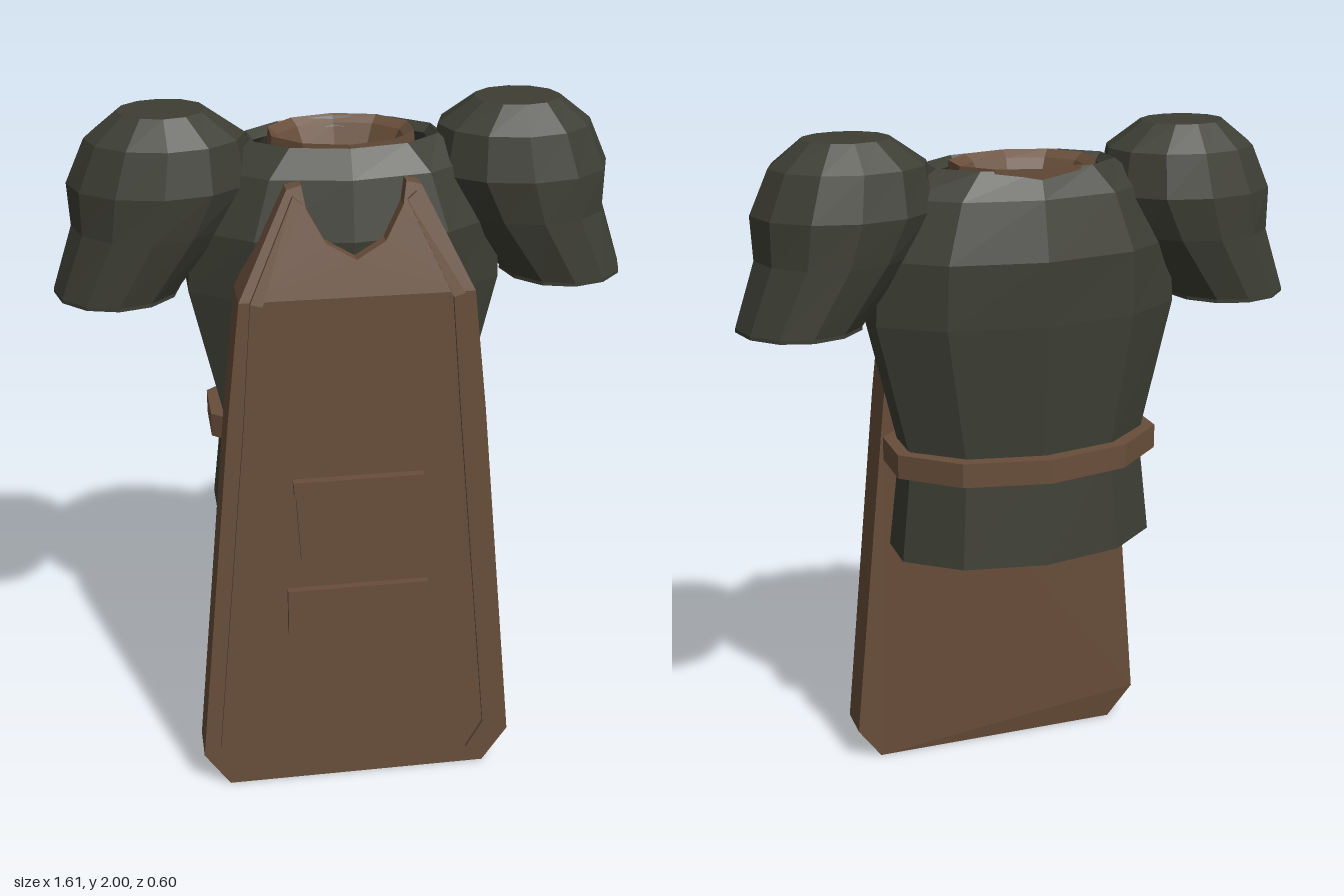
import * as THREE from 'three';

const cloth = new THREE.MeshStandardMaterial({ color: 0x3d3e34, flatShading: true, side: THREE.DoubleSide });
const leather = new THREE.MeshStandardMaterial({ color: 0x694e3a, flatShading: true, side: THREE.DoubleSide });

// Skin through elliptical rings [x, y, z, rx, rz], listed from top to bottom.
// Sides run from the front (+z) towards +x; first/last leave an opening.
function loft(name, material, rings, sides, first = 0, last = sides) {
  const pos = [], idx = [], row = last - first + 1;
  for (const [x, y, z, rx, rz] of rings) {
    for (let i = first; i <= last; i++) {
      const a = (i / sides) * Math.PI * 2;
      pos.push(x + Math.sin(a) * rx, y, z + Math.cos(a) * rz);
    }
  }
  for (let r = 0; r < rings.length - 1; r++) {
    for (let i = 0; i < row - 1; i++) {
      const a = r * row + i, c = a + row;
      idx.push(a, c, a + 1, a + 1, c, c + 1);
    }
  }
  const geo = new THREE.BufferGeometry();
  geo.setAttribute('position', new THREE.Float32BufferAttribute(pos, 3));
  geo.setIndex(idx);
  geo.computeVertexNormals();
  const mesh = new THREE.Mesh(geo, material);
  mesh.name = name;
  return mesh;
}

// Apron surface depth at a given height: near-flat skirt, bib leaning back.
const frontZ = (y) => (y < 1.55 ? 0.285 - 0.015 * y : 0.262 - (y - 1.55) * 0.27);
const backZ = (y) => (y < 0.05 ? 0.185 : 0.168 - 0.025 * y);

// Flat outline turned into a plate that follows the apron surface.
function plate(name, points, back, front) {
  const shape = new THREE.Shape(points.map(([x, y]) => new THREE.Vector2(x, y)));
  const geo = new THREE.ExtrudeGeometry(shape, { depth: 1, bevelEnabled: false });
  const p = geo.attributes.position;
  for (let i = 0; i < p.count; i++) {
    p.setZ(i, p.getZ(i) > 0.5 ? front(p.getY(i)) : back(p.getY(i)));
  }
  geo.computeVertexNormals();
  const mesh = new THREE.Mesh(geo, leather);
  mesh.name = name;
  return mesh;
}

const raised = (h) => (y) => frontZ(y) + h;
const mirrored = (half) => [...half, ...half.filter(([x]) => x > 0).reverse().map(([x, y]) => [-x, y])];

export function createModel() {
  const group = new THREE.Group();

  // Shirt body, with a turned-in neck edge
  group.add(loft('shirtBody', cloth, [
    [0, 1.89, -0.04, 0.25, 0.145],
    [0, 1.915, -0.04, 0.27, 0.165],
    [0, 1.84, -0.035, 0.37, 0.2],
    [0, 1.68, -0.035, 0.45, 0.235],
    [0, 1.5, -0.04, 0.46, 0.225],
    [0, 1.1, -0.04, 0.365, 0.2],
  ], 10));

  // Shirt hem, open in front behind the apron, with a folded edge
  group.add(loft('shirtHem', cloth, [
    [0, 1.1, -0.04, 0.365, 0.2],
    [0, 0.8, -0.04, 0.4, 0.23],
    [0, 0.8, -0.04, 0.375, 0.21],
    [0, 1.1, -0.04, 0.34, 0.18],
  ], 10, 1, 9));

  // Belt and collar bands
  group.add(loft('belt', leather, [
    [0, 1.13, -0.04, 0.37, 0.22],
    [0, 1.13, -0.04, 0.41, 0.26],
    [0, 1.06, -0.04, 0.41, 0.26],
    [0, 1.06, -0.04, 0.37, 0.22],
    [0, 1.13, -0.04, 0.37, 0.22],
  ], 10));
  group.add(loft('collar', leather, [
    [0, 1.84, -0.055, 0.15, 0.115],
    [0, 1.9, -0.055, 0.18, 0.135],
    [0, 1.92, -0.055, 0.205, 0.16],
    [0, 1.84, -0.055, 0.21, 0.16],
    [0, 1.84, -0.055, 0.15, 0.115],
  ], 10));

  // Puffed sleeves with flared, hollow cuffs
  for (const s of [1, -1]) {
    group.add(loft(s > 0 ? 'leftSleeve' : 'rightSleeve', cloth, [
      [s * 0.485, 2.0, -0.03, 0, 0],
      [s * 0.485, 2.0, -0.03, 0.12, 0.105],
      [s * 0.48, 1.93, -0.03, 0.215, 0.175],
      [s * 0.495, 1.81, -0.03, 0.255, 0.2],
      [s * 0.53, 1.69, -0.03, 0.215, 0.195],
      [s * 0.63, 1.51, -0.03, 0.175, 0.18],
      [s * 0.63, 1.5, -0.03, 0.175, 0.18],
      [s * 0.63, 1.5, -0.03, 0.145, 0.15],
      [s * 0.57, 1.62, -0.03, 0.15, 0.15],
    ], 12));
  }

  // Apron: skirt plate with clipped corners, and a bib with a scooped neckline
  group.add(plate('apronSkirt', mirrored([
    [0.39, 0], [0.465, 0.11], [0.36, 1.2], [0.32, 1.55],
  ]), backZ, frontZ));
  group.add(plate('apronBib', [
    [-0.32, 1.55], [0.32, 1.55], [0.18, 1.83], [0.14, 1.84], [0.13, 1.78], [0.08, 1.69],
    [0, 1.645], [-0.08, 1.69], [-0.13, 1.78], [-0.14, 1.84], [-0.18, 1.83],
  ], backZ, frontZ));

  // Raised trim strips along both apron edges
  const outer = [[0.36, 0.045], [0.415, 0.14], [0.317, 1.2], [0.29, 1.55], [0.165, 1.815]];
  const inner = [[0.335, 0.06], [0.385, 0.15], [0.287, 1.2], [0.258, 1.54], [0.14, 1.795]];
  for (const s of [1, -1]) {
    for (let i = 0; i < outer.length - 1; i++) {
      const strip = [outer[i], outer[i + 1], inner[i + 1], inner[i]].map(([x, y]) => [s * x, y]);
      group.add(plate(s > 0 ? 'leftTrim' : 'rightTrim', strip, raised(-0.01), raised(0.012)));
    }
  }

  // Pockets and the upper pocket's flap
  group.add(plate('upperPocket', mirrored([[0.165, 0.77], [0.178, 0.98]]), raised(-0.01), raised(0.016)));
  group.add(plate('pocketFlap', mirrored([[0.182, 0.975], [0.185, 1.02]]), raised(-0.01), raised(0.026)));
  group.add(plate('lowerPocket', mirrored([[0.205, 0.525], [0.205, 0.67]]), raised(-0.01), raised(0.022)));

  return group;
}
